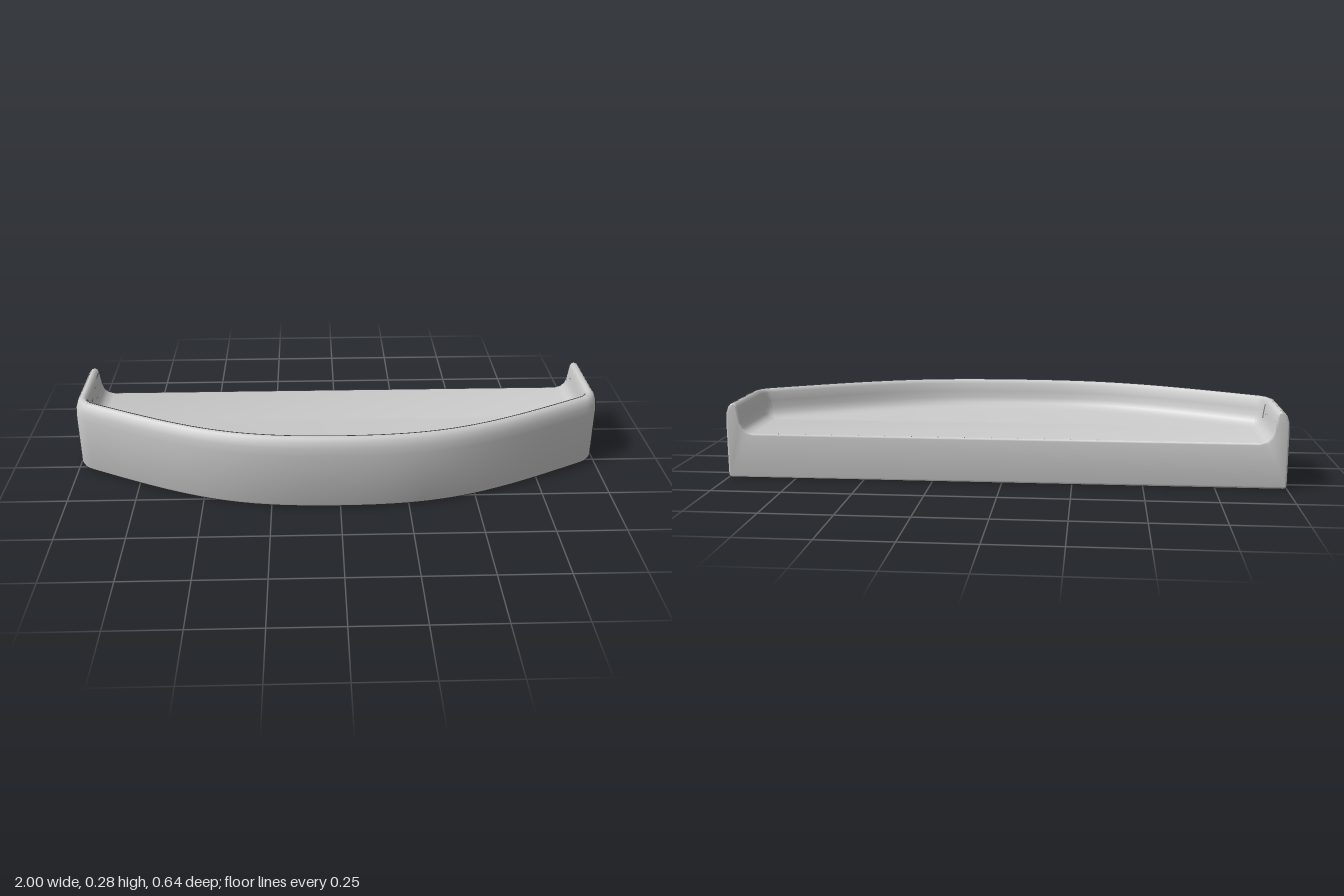
import * as THREE from 'three';
import { toCreasedNormals } from 'three/addons/utils/BufferGeometryUtils.js';

const BACK = -0.32, EDGE = 0.008;

// Wall cross-section as [inset from outline, height], from the underside over the rim to the floor
const PROFILE = [
  [0.012, 0], [0.004, 0.003], [0, 0.012], [0, 0.21], [0.003, 0.24], [0.01, 0.261],
  [0.02, 0.273], [0.032, 0.277], [0.042, 0.273], [0.048, 0.262], [0.052, 0.23],
  [0.056, 0.205], [0.063, 0.185], [0.076, 0.172], [0.1, 0.165],
];

// Bowed front, from the left corner to the middle
const bow = new THREE.CubicBezierCurve(
  new THREE.Vector2(1, 0), new THREE.Vector2(0.55, 0.25),
  new THREE.Vector2(0.4, 0.32), new THREE.Vector2(0, 0.32));

function bowPoint(t, inset) {
  const p = bow.getPoint(t), d = bow.getTangent(t);
  return new THREE.Vector2(p.x - d.y * inset, p.y + d.x * inset);
}

// Left half of the outline, moved inward by inset: side, rounded corner, bow
function outline(inset) {
  const t0 = 0.042;
  const side = new THREE.Vector2(1 - inset, -0.065);
  const corner = new THREE.QuadraticBezierCurve(
    side, new THREE.Vector2(1 - inset, -0.589 * inset), bowPoint(t0, inset));
  const points = [new THREE.Vector2(1 - inset, BACK + EDGE), ...corner.getPoints(8)];
  for (let i = 1; i <= 36; i++) points.push(bowPoint(t0 + (1 - t0) * i / 36, inset));
  return points;
}

// Closed loop: left half of the section followed by its mirror image
const mirrorLoop = half => [
  ...half, ...half.slice().reverse().map(p => new THREE.Vector3(-p.x, p.y, p.z))];

// Section shrunk evenly by r, used to round the back edge
function shrinkLoop(loop, r, z) {
  const n = loop.length;
  return loop.map((p, j) => {
    const a = loop[(j + n - 1) % n], b = loop[(j + 1) % n];
    const dx = b.x - a.x, dy = b.y - a.y, l = Math.hypot(dx, dy);
    return new THREE.Vector3(p.x - dy / l * r, p.y + dx / l * r, z);
  });
}

function trayGeometry() {
  const paths = PROFILE.map(([inset]) => outline(inset));
  const loops = paths[0].map((_, i) => mirrorLoop(
    PROFILE.map(([, y], j) => new THREE.Vector3(paths[j][i].x, y, paths[j][i].y))));

  // Rounded back edge
  const first = loops[0];
  for (let k = 1; k <= 3; k++) {
    const a = k / 3 * Math.PI / 2;
    loops.unshift(shrinkLoop(first, EDGE * (1 - Math.cos(a)), BACK + EDGE * (1 - Math.sin(a))));
  }

  const n = first.length, index = [];
  for (let i = 0; i < loops.length - 1; i++) {
    for (let j = 0; j < n; j++) {
      const a = i * n + j, b = i * n + (j + 1) % n;
      index.push(a, b, b + n, a, b + n, a + n);
    }
  }
  // Flat back face
  const flat = loops[0].map(p => new THREE.Vector2(p.x, p.y));
  for (const [a, b, c] of THREE.ShapeUtils.triangulateShape(flat, [])) index.push(a, c, b);

  const geometry = new THREE.BufferGeometry().setFromPoints(loops.flat());
  geometry.setIndex(index);
  return toCreasedNormals(geometry, 0.75);
}

export function createModel() {
  const group = new THREE.Group();
  group.name = 'bowFrontTray';
  const tray = new THREE.Mesh(trayGeometry(), new THREE.MeshStandardMaterial({ color: 0xcccccc }));
  tray.name = 'tray';
  group.add(tray);
  return group;
}
